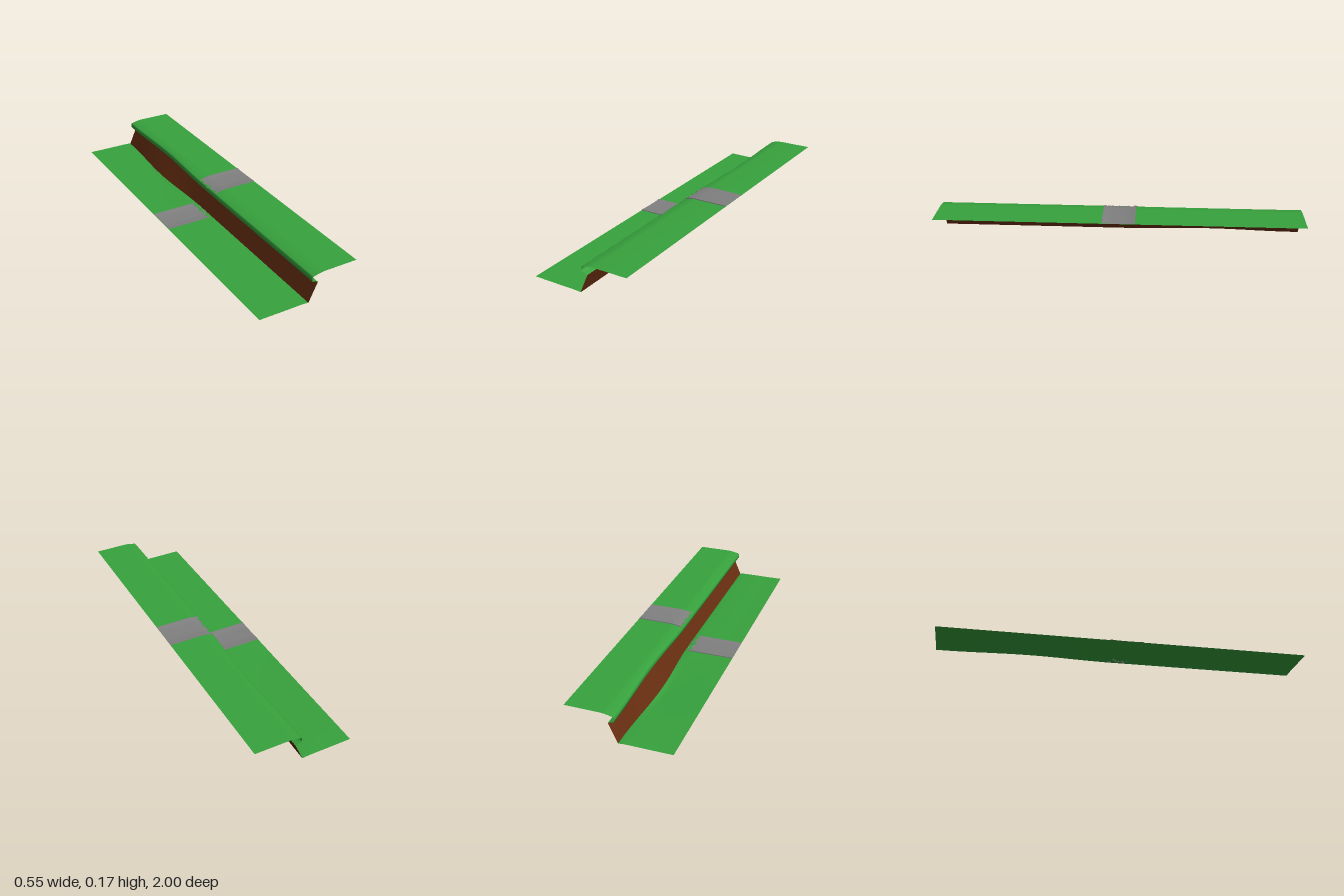
import * as THREE from 'three';
import { toCreasedNormals } from 'three/addons/utils/BufferGeometryUtils.js';

const mat = (name, color) => {
  const m = new THREE.MeshStandardMaterial({ color, side: THREE.DoubleSide });
  m.name = name;
  return m;
};

// Bulge of the cliff, centred on z = -0.5
const bulge = z => {
  const d = Math.abs(z + 0.5) / 0.47;
  return d < 1 ? Math.cos(d * Math.PI / 2) ** 2 : 0;
};

// Cross-sections [x, y] at a given z
const groundSection = z => {
  const b = bulge(z);
  return [[-0.275, 0.013], [-0.16, 0.012 - 0.003 * b], [-0.05, 0.012 - 0.01 * b],
    [-0.015 - 0.016 * b, 0.011 - 0.006 * b], [0.003 - 0.02 * b, 0.008]];
};
const wallSection = z => {
  const b = bulge(z);
  return [[0.003 - 0.02 * b, 0.008], [0.026 - 0.013 * b, 0.06], [0.05 - 0.006 * b, 0.114 + 0.002 * b]];
};
const lipSection = z => {
  const b = bulge(z);
  return [[0.05 - 0.006 * b, 0.114 + 0.002 * b], [0.034 + 0.004 * b, 0.121], [0.018 + 0.014 * b, 0.125],
    [0.017 + 0.014 * b, 0.137], [0.017 + 0.013 * b, 0.149], [0.023 + 0.012 * b, 0.153],
    [0.045, 0.158], [0.065, 0.162], [0.085, 0.164], [0.275, 0.164]];
};

// Surface through a section repeated along the given z values
function loft(section, zs) {
  const pos = [], idx = [];
  const n = section(zs[0], 0).length;
  zs.forEach((z, j) => {
    section(z, j).forEach(([x, y]) => pos.push(x, y, z));
    if (!j) return;
    for (let i = 0; i < n - 1; i++) {
      const a = (j - 1) * n + i, b = a + n;
      idx.push(a, b, a + 1, a + 1, b, b + 1);
    }
  });
  const g = new THREE.BufferGeometry();
  g.setAttribute('position', new THREE.Float32BufferAttribute(pos, 3));
  g.setIndex(idx);
  g.computeVertexNormals();
  return g;
}

export function createModel() {
  const group = new THREE.Group();
  const grass = mat('grass green', 0x37a23d);
  const earth = mat('earth brown', 0x662d10);
  const paving = mat('road grey', 0x808080);
  const add = (name, geometry, material) => {
    const m = new THREE.Mesh(geometry, material);
    m.name = name;
    group.add(m);
    return m;
  };

  // Terrain
  const zs = Array.from({ length: 81 }, (_, i) => -1 + i / 40);
  add('lowerGround', loft(groundSection, zs), grass);
  add('cliffWall', loft(wallSection, zs), earth);
  add('upperGround', loft(lipSection, zs), grass);

  // Dished road with raised kerbs: [z, height above ground]
  const road = [[-0.09, -0.001], [-0.089, 0.004], [-0.08, 0.004], [-0.072, 0.002], [-0.035, 0.0012],
    [0, 0.001], [0.035, 0.0012], [0.072, 0.002], [0.08, 0.004], [0.089, 0.004], [0.09, -0.001]];
  const roadZ = road.map(p => p[0]);
  // Ragged broken ends facing the cliff
  const jag = [0, 0, 0, 0.012, 0.003, 0.016, 0.004, 0.013, 0, 0, 0];
  const lower = (z, j) => [-0.275, -0.16, -0.05, -0.018 - jag[j]]
    .map((x, i) => [x, [0.013, 0.012, 0.012, 0.0113][i] + road[j][1]]);
  const upper = (z, j) => [[0.022 + jag[j], 0.153 + jag[j] * 0.23], [0.045, 0.158], [0.065, 0.162],
    [0.085, 0.164], [0.275, 0.164]].map(([x, y]) => [x, y + road[j][1]]);
  add('lowerRoad', toCreasedNormals(loft(lower, roadZ), 0.6), paving);
  add('upperRoad', toCreasedNormals(loft(upper, roadZ), 0.6), paving);

  // Broken paving at the cliff foot and lip: [x, y, z, size, turn]
  [[-0.03, 0.012, -0.03, 0.022, 0.4], [-0.012, 0.01, 0.02, 0.02, 1.9], [-0.022, 0.011, 0.045, 0.016, 2.8],
    [-0.004, 0.009, -0.05, 0.014, 0.9], [-0.01, 0.01, -0.005, 0.016, 3.6],
    [0.026, 0.153, -0.04, 0.014, 1.2], [0.024, 0.152, 0.005, 0.015, 2.3], [0.027, 0.154, 0.042, 0.014, 0.2],
  ].forEach(([x, y, z, size, turn]) => {
    const g = new THREE.CylinderGeometry(size * 0.8, size, 0.004, 3).toNonIndexed();
    g.computeVertexNormals();
    const shard = add('pavingShard', g, paving);
    shard.position.set(x, y, z);
    shard.rotation.set(0.12, turn, 0.12);
    shard.scale.set(0.6, 1, 0.9);
  });
  return group;
}
